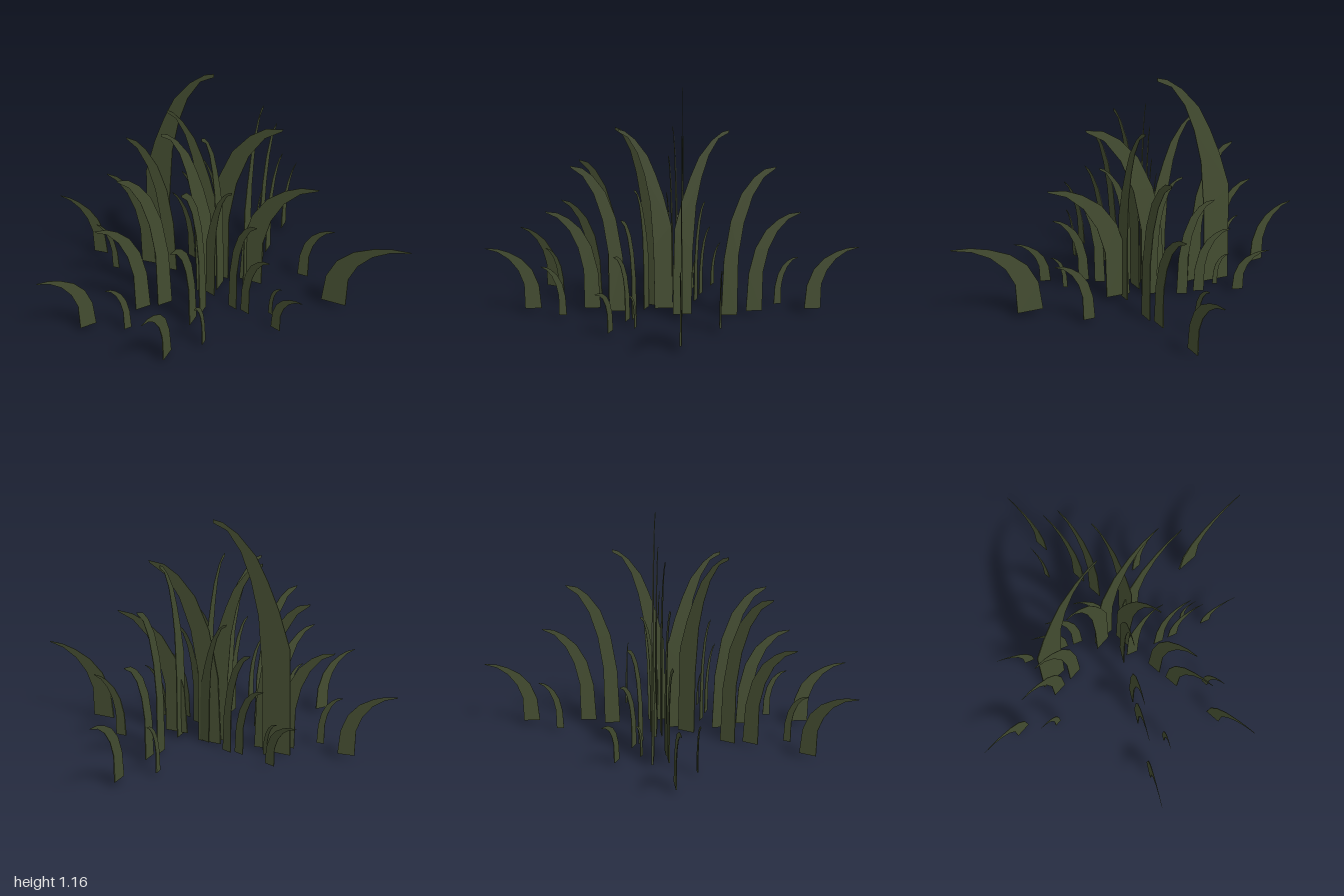
import * as THREE from 'three';

// Blade outlines, unit sized: base at (0,0), tip at (1,1), arching towards +x
const TALL = [[0, 0], [0.03, 0.47], [0.17, 0.63], [0.31, 0.75], [0.46, 0.855], [0.69, 0.945], [0.88, 0.99], [1, 1],
  [1, 0.985], [0.82, 0.955], [0.65, 0.87], [0.52, 0.75], [0.42, 0.6], [0.36, 0.35], [0.34, 0]];
const ARCHED = [[0, 0], [0.04, 0.38], [0.16, 0.64], [0.35, 0.82], [0.58, 0.93], [0.78, 0.985], [1, 1],
  [0.98, 0.985], [0.77, 0.93], [0.57, 0.81], [0.41, 0.63], [0.31, 0.4], [0.3, 0]];

// One row of blades along +x: outline, start, tip, bottom, top, sideways offset
const ROW = [
  ['tallBlade', TALL, 0, 0.28, 0.01, 0.95, 0],
  ['midBlade', ARCHED, 0.25, 0.525, 0, 0.765, 0],
  ['lowBlade', ARCHED, 0.378, 0.655, 0.02, 0.532, 0],
  ['outerBlade', ARCHED, 0.683, 0.965, 0.025, 0.346, 0],
  ['sideBlade', ARCHED, 0.548, 0.675, 0.02, 0.272, -0.12],
];

// Rows: origin x, z, direction x, z, scale along the ground, scale in height
const ROWS = [
  [0, -0.005, 0, 1, 1, 1],
  [0.12, 0.005, 0, -1, 1, 1],
  [-0.04, -0.035, -1, 0.02, 1, 1],
  [-0.04, 0.06, -0.585, 0.811, 1, 1],
  [-0.05, 0.12, 0.91, 0.41, 0.69, 0.69],
  [0, -0.06, -0.905, -0.425, 0.69, 0.69],
  [-0.505, -0.106, 0.995, 0.103, 1.56, 1.22],
];

// Thin blade that gets thinner towards its tip
function bladeGeometry(outline, start, tip, bottom, top) {
  const points = outline.map(([u, v]) =>
    new THREE.Vector2(start + u * (tip - start), bottom + v * (top - bottom)));
  const geometry = new THREE.ExtrudeGeometry(new THREE.Shape(points), { depth: 0.006, bevelEnabled: false });
  geometry.translate(0, 0, -0.003);
  const pos = geometry.attributes.position;
  for (let i = 0; i < pos.count; i++) {
    const v = (pos.getY(i) - bottom) / (top - bottom);
    pos.setZ(i, pos.getZ(i) * (1 - 0.75 * v));
  }
  geometry.computeVertexNormals();
  return geometry;
}

export function createModel() {
  const model = new THREE.Group();
  model.name = 'grassClump';
  const green = new THREE.MeshStandardMaterial({ color: 0x434c30 });
  green.name = 'grassGreen';

  const blades = ROW.map(([name, outline, start, tip, bottom, top, side]) =>
    ({ name, side, geometry: bladeGeometry(outline, start, tip, bottom, top) }));

  for (const [x, z, dx, dz, spread, height] of ROWS) {
    const row = new THREE.Group();
    row.name = 'bladeRow';
    for (const { name, side, geometry } of blades) {
      const blade = new THREE.Mesh(geometry, green);
      blade.name = name;
      blade.position.z = side;
      row.add(blade);
    }
    row.position.set(x, 0, z);
    row.rotation.y = Math.atan2(-dz, dx);
    row.scale.set(spread, height, spread);
    model.add(row);
  }
  return model;
}
